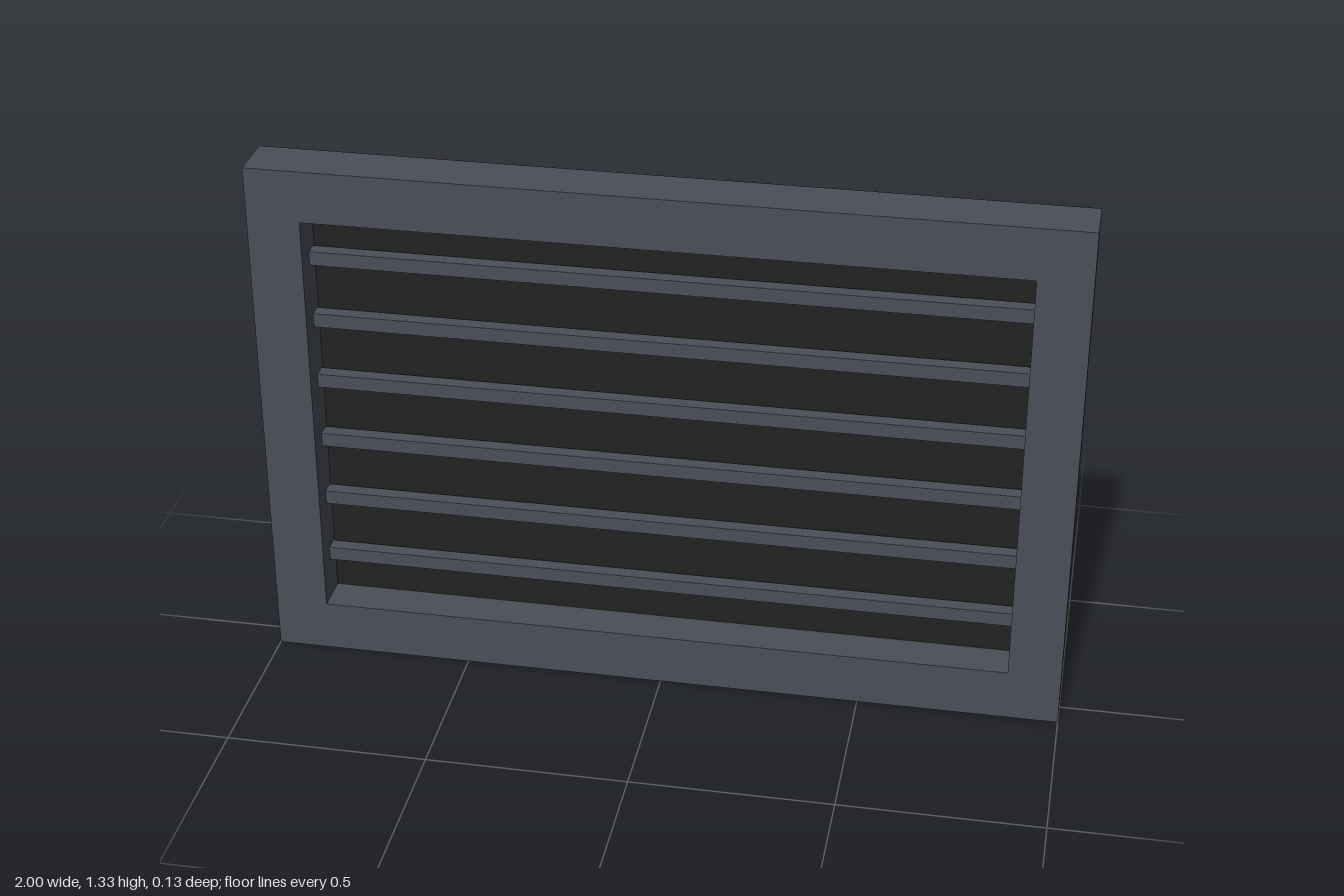
import * as THREE from 'three';

export function createModel() {
  const model = new THREE.Group();
  const W = 2, H = 1.334, D = 0.134, border = 0.131;
  const plate = 0.002; // thickness of the rear cover

  const frameMat = new THREE.MeshStandardMaterial({ color: 0x4a4e58 });
  frameMat.name = 'slate grey';
  const backMat = new THREE.MeshStandardMaterial({ color: 0x222222 });
  backMat.name = 'near black';

  const add = (name, geometry, material, x, y, z) => {
    const mesh = new THREE.Mesh(geometry, material);
    mesh.name = name;
    mesh.position.set(x, y, z);
    model.add(mesh);
    return mesh;
  };

  // Rectangular frame with an opening
  const rect = (PathType, w, h) => new PathType().setFromPoints([
    new THREE.Vector2(-w / 2, -h / 2), new THREE.Vector2(w / 2, -h / 2),
    new THREE.Vector2(w / 2, h / 2), new THREE.Vector2(-w / 2, h / 2),
  ]);
  const openW = W - 2 * border, openH = H - 2 * border;
  const outline = rect(THREE.Shape, W, H);
  outline.holes.push(rect(THREE.Path, openW, openH));
  const frameGeo = new THREE.ExtrudeGeometry(outline, { depth: D - plate, bevelEnabled: false });
  add('frame', frameGeo, frameMat, 0, H / 2, -D / 2 + plate);

  // Dark backing: a recessed panel in the opening and a full rear cover
  const panelDepth = 0.034;
  add('recessedPanel', new THREE.BoxGeometry(openW, openH, panelDepth - plate), backMat,
    0, H / 2, -D / 2 + (panelDepth + plate) / 2);
  add('rearCover', new THREE.BoxGeometry(W, H, plate), backMat, 0, H / 2, -D / 2 + plate / 2);

  // Six horizontal slats across the opening
  const slatGeo = new THREE.BoxGeometry(openW, 0.036, 0.036);
  for (let i = 0; i < 6; i++) {
    add('slat' + (i + 1), slatGeo, frameMat, 0, H / 2 + (i - 2.5) * 0.1667, -0.006);
  }

  return model;
}
